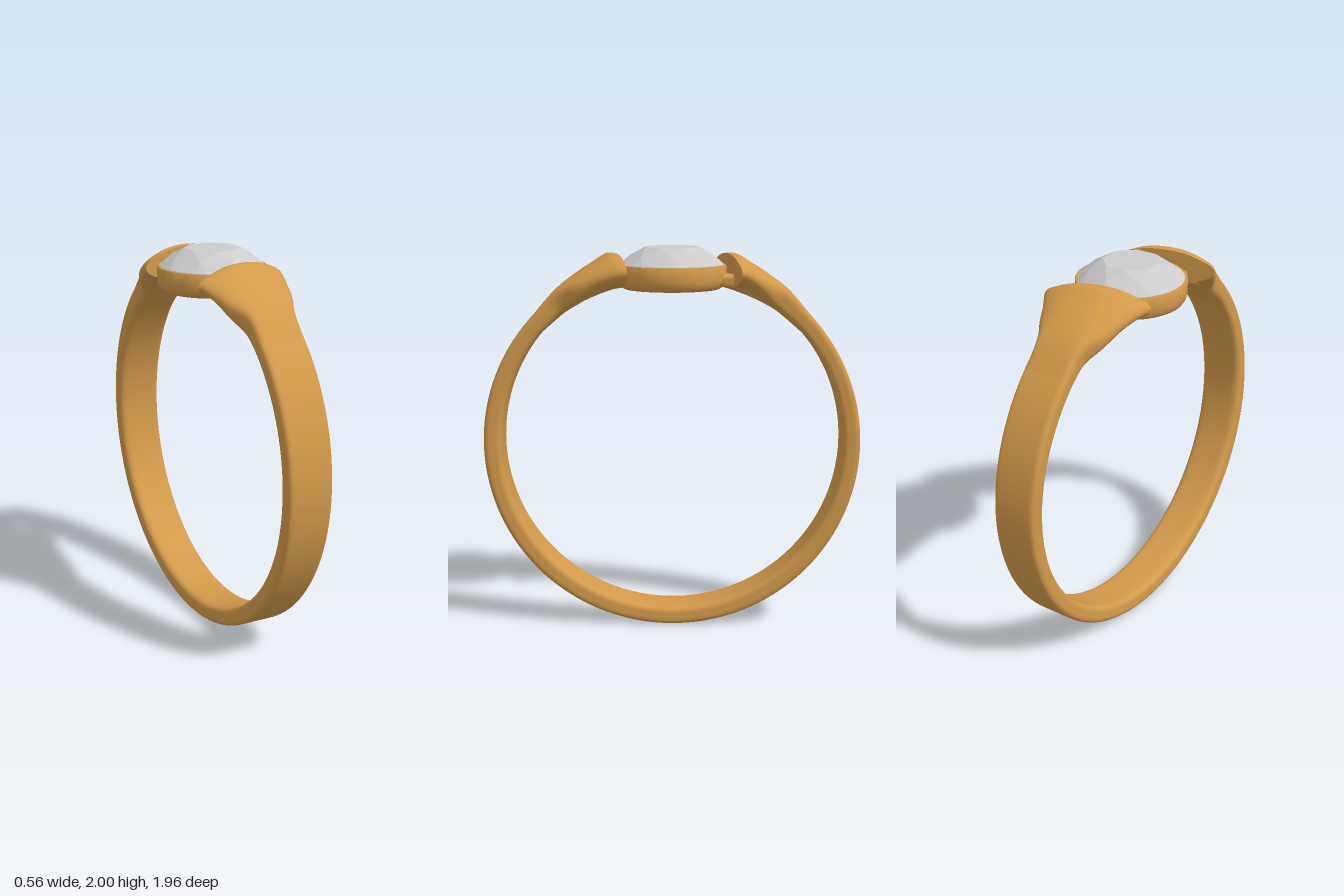
import * as THREE from 'three';
import { toCreasedNormals } from 'three/addons/utils/BufferGeometryUtils.js';
import { ConvexGeometry } from 'three/addons/geometries/ConvexGeometry.js';

const gold = new THREE.MeshStandardMaterial({ color: 0xd2994a });
const grey = new THREE.MeshStandardMaterial({ color: 0xcccccc, flatShading: true });
const AROUND = 48; // points around each cross-section
const CY = 0.982, R = 0.982; // ring centre height and outer radius

// Right half of a cross-section [x, v], mirrored and smoothed into a closed loop
function section(half) {
  const left = half.slice(1, -1).reverse().map(([x, v]) => [-x, v]);
  const pts = [...half, ...left].map(([x, v]) => new THREE.Vector3(x, v, 0));
  const curve = new THREE.CatmullRomCurve3(pts, true, 'centripetal');
  return Array.from({ length: AROUND }, (_, i) => curve.getPoint(i / AROUND));
}
const bandSection = section([[0, 1], [0.6, 1], [0.9, 0.97], [1, 0.8], [1, 0.5], [0.97, 0.2], [0.82, 0.04], [0.5, 0], [0, 0]]);
const wingSection = section([[0, 1], [0.4, 0.95], [0.75, 0.78], [0.95, 0.62], [1, 0.45], [0.92, 0.28], [0.7, 0.12], [0.45, 0], [0, 0]]);

// Skin a list of rings; optionally close the last ring with a crisp flat face
function loft(rings, capEnd) {
  const pos = rings.flat().flatMap((p) => [p.x, p.y, p.z]);
  const index = [];
  for (let i = 0; i < rings.length - 1; i++) {
    for (let j = 0; j < AROUND; j++) {
      const k = (j + 1) % AROUND;
      const a = i * AROUND + j, b = i * AROUND + k;
      index.push(a, b, a + AROUND, b, b + AROUND, a + AROUND);
    }
  }
  if (capEnd) {
    const last = rings[rings.length - 1];
    const start = pos.length / 3;
    const mid = new THREE.Vector3();
    last.forEach((p) => mid.addScaledVector(p, 1 / AROUND));
    [...last, mid].forEach((p) => pos.push(p.x, p.y, p.z));
    for (let j = 0; j < AROUND; j++) index.push(start + AROUND, start + j, start + (j + 1) % AROUND);
  }
  const g = new THREE.BufferGeometry();
  g.setAttribute('position', new THREE.Float32BufferAttribute(pos, 3));
  g.setIndex(index);
  g.computeVertexNormals();
  return g;
}

// Open hoop whose ends run into the bezel
function bandGeometry() {
  const rings = [], steps = 140, end = 0.29;
  for (let i = 0; i <= steps; i++) {
    const a = THREE.MathUtils.lerp(2 * Math.PI - end, end, i / steps);
    const fromTop = Math.min(a, 2 * Math.PI - a);
    const outer = R - 0.06 * (1 - THREE.MathUtils.smoothstep(fromTop, 0.29, 0.42));
    const inner = 0.888 - 0.028 * (1 - THREE.MathUtils.smoothstep(fromTop, 0.3, 0.85));
    const w = 0.12 + 0.006 * Math.cos(a);
    rings.push(bandSection.map((p) => {
      const r = THREE.MathUtils.lerp(inner, outer, p.y);
      return new THREE.Vector3(p.x * w, CY + r * Math.cos(a), r * Math.sin(a));
    }));
  }
  return loft(rings, false);
}

// Flared shoulder ending in a slanted face against the bezel
function shoulderGeometry() {
  // top z, top y, bottom z, bottom y, half width, wing blend, skew
  const keys = [
    [0.74, 1.624, 0.67, 1.565, 0.122, 0, 0],
    [0.61, 1.775, 0.56, 1.66, 0.13, 0.1, 0],
    [0.5, 1.862, 0.48, 1.715, 0.185, 0.6, 0.25],
    [0.4, 1.926, 0.4, 1.765, 0.22, 0.85, 0.55],
    [0.33, 1.966, 0.33, 1.79, 0.25, 1, 0.85],
    [0.285, 1.966, 0.285, 1.8, 0.268, 1, 1],
  ];
  const rings = [], steps = 40;
  for (let i = 0; i <= steps; i++) {
    const f = (i / steps) * (keys.length - 1);
    const n = Math.min(Math.floor(f), keys.length - 2), t = f - n;
    const at = (k) => keys[Math.max(0, Math.min(keys.length - 1, k))];
    // cubic blend through the key sections
    const [tz, ty, bz, by, w, blend, skew] = keys[0].map((_, c) => {
      const p0 = at(n - 1)[c], p1 = at(n)[c], p2 = at(n + 1)[c], p3 = at(n + 2)[c];
      const m1 = (p2 - p0) / 2, m2 = (p3 - p1) / 2;
      return p1 + t * (m1 + t * (3 * (p2 - p1) - 2 * m1 - m2 + t * (2 * (p1 - p2) + m1 + m2)));
    });
    rings.push(bandSection.map((p, j) => {
      const q = p.clone().lerp(wingSection[j], blend);
      const x = q.x * w;
      return new THREE.Vector3(x, by + (ty - by) * q.y, bz + (tz - bz) * q.y - 0.25 * skew * x);
    }));
  }
  return loft(rings, true);
}

// Cup with a rounded lower rim and an open bottom
function bezelGeometry() {
  const profile = [
    [0.266, 1.91], [0.262, 1.88], [0.205, 1.825], [0.195, 1.805], [0.203, 1.79], [0.22, 1.785],
    [0.245, 1.787], [0.263, 1.797], [0.275, 1.815], [0.28, 1.84], [0.28, 1.905], [0.277, 1.91], [0.266, 1.91],
  ].map(([x, y]) => new THREE.Vector2(x, y));
  return toCreasedNormals(new THREE.LatheGeometry(profile, 72), 0.7);
}

// Round brilliant-cut stone
function gemGeometry() {
  const pts = [new THREE.Vector3(0, 1.782, 0)];
  const ring = (n, r, y, offset) => {
    for (let i = 0; i < n; i++) {
      const a = ((i + offset) / n) * Math.PI * 2;
      pts.push(new THREE.Vector3(r * Math.sin(a), y, r * Math.cos(a)));
    }
  };
  ring(8, 0.145, 2.0, 0.5); // table
  ring(8, 0.215, 1.959, 0); // crown
  ring(32, 0.267, 1.912, 0); // girdle
  ring(32, 0.267, 1.9, 0);
  return new ConvexGeometry(pts);
}

export function createModel() {
  const model = new THREE.Group();
  model.name = 'ring';
  const add = (name, geometry, material) => {
    const mesh = new THREE.Mesh(geometry, material);
    mesh.name = name;
    model.add(mesh);
    return mesh;
  };
  add('band', bandGeometry(), gold);
  const shoulder = shoulderGeometry();
  add('frontShoulder', shoulder, gold);
  add('backShoulder', shoulder, gold).rotation.y = Math.PI;
  add('bezel', bezelGeometry(), gold);
  add('gem', gemGeometry(), grey);
  return model;
}
